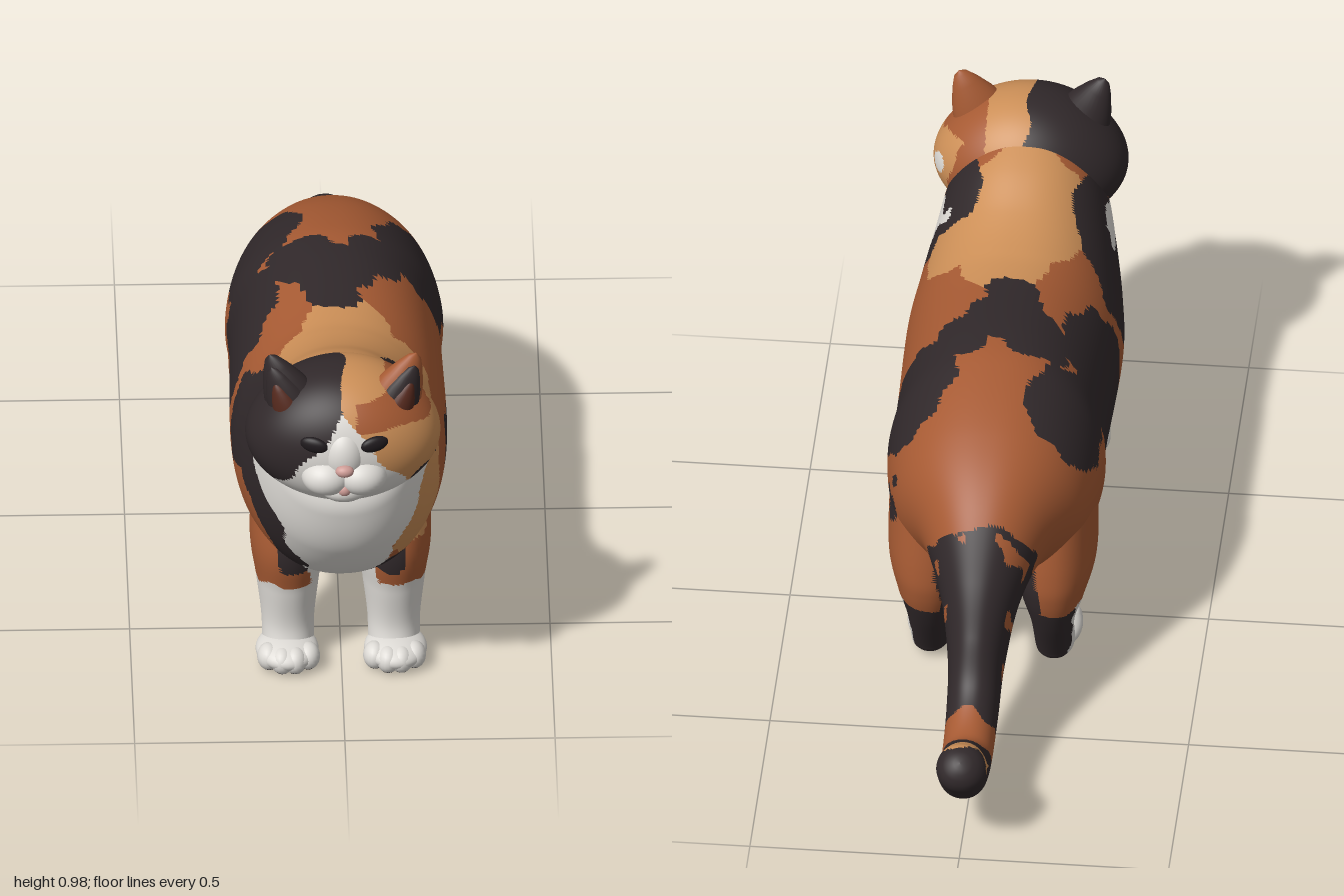
import * as THREE from 'three';

const mat = (name, color) => Object.assign(new THREE.MeshStandardMaterial({ color }), { name });

// Smooth tube through sections [yA, zA, yB, zB, halfWidth], ends rounded off.
// A and B are opposite edge points of each section (top/bottom, or back/front for legs).
function loft(rows, x, steps, around, capDepth) {
  const curve = pts => new THREE.CatmullRomCurve3(pts, false, 'catmullrom', 0.5);
  const a = curve(rows.map(r => new THREE.Vector3(r[4], r[0], r[1])));
  const b = curve(rows.map(r => new THREE.Vector3(0, r[2], r[3])));
  const rings = [];
  for (let i = 0; i <= steps; i++) {
    const p = a.getPoint(i / steps), q = b.getPoint(i / steps);
    rings.push({ y: (p.y + q.y) / 2, z: (p.z + q.z) / 2, hy: (p.y - q.y) / 2, hz: (p.z - q.z) / 2, w: p.x });
  }
  const cap = (end, next) => {
    const len = Math.hypot(end.hy, end.hz);
    let dy = -end.hz / len, dz = end.hy / len;
    if (dy * (end.y - next.y) + dz * (end.z - next.z) < 0) { dy = -dy; dz = -dz; }
    return [1, 2, 3, 4, 5, 6].map(k => {
      const t = k / 6 * Math.PI / 2, c = Math.max(Math.cos(t), 0.002), s = Math.sin(t) * capDepth;
      return { y: end.y + dy * s, z: end.z + dz * s, hy: end.hy * c, hz: end.hz * c, w: end.w * c };
    });
  };
  const all = [...cap(rings[0], rings[1]).reverse(), ...rings, ...cap(rings[steps], rings[steps - 1])];
  const pos = [], idx = [];
  all.forEach((r, i) => {
    for (let j = 0; j < around; j++) {
      const t = j / around * Math.PI * 2, s = Math.sin(t), c = Math.cos(t);
      pos.push(x + r.w * Math.sign(s) * Math.abs(s) ** 0.92, r.y + r.hy * c, r.z + r.hz * c);
      if (i < all.length - 1) {
        const k = (j + 1) % around, p = i * around, q = p + around;
        idx.push(p + j, p + k, q + j, p + k, q + k, q + j);
      }
    }
  });
  const g = new THREE.BufferGeometry();
  g.setAttribute('position', new THREE.Float32BufferAttribute(pos, 3));
  g.setIndex(idx);
  g.computeVertexNormals();
  return g;
}

const ball = (c, r, seg = 24) =>
  new THREE.SphereGeometry(1, seg, Math.round(seg * 0.7)).scale(...r).translate(...c);

const [WHITE, RUST, TAN, DARK] = [0, 1, 2, 3];

// Round blots [x, y, z, radius]
const inside = (blots, x, y, z) => blots.some(b => Math.hypot(x - b[0], y - b[1], z - b[2]) < b[3]);
const tanBlots = [[0, 0.82, 0.5, 0.18], [0.02, 0.78, 0.36, 0.12], [0.14, 0.73, 0.48, 0.12],
  [0.2, 0.56, 0.7, 0.12], [0.2, 0.44, 0.7, 0.11]];
const neckBlots = [[0.18, 0.77, 0.6, 0.1], [0.21, 0.65, 0.6, 0.08], [-0.25, 0.73, 0.58, 0.14],
  [-0.25, 0.6, 0.5, 0.13], [0.12, 0.3, 0.7, 0.05]];
const backBlots = [[0, 0.8, 0.14, 0.1], [0, 0.79, 0.24, 0.07], [0.1, 0.78, 0.05, 0.08], [-0.1, 0.78, 0.06, 0.09],
  [0.2, 0.64, -0.05, 0.15], [-0.25, 0.58, 0.15, 0.185], [-0.22, 0.4, 0.16, 0.15], [-0.2, 0.68, -0.12, 0.14]];
const sideBlots = [[0.25, 0.45, -0.21, 0.045], [0.25, 0.54, -0.25, 0.025], [0.25, 0.43, 0.39, 0.115],
  [0.24, 0.34, 0.28, 0.1], [0.2, 0.29, 0.49, 0.08]];
const darkBlots = [...neckBlots, ...backBlots, ...sideBlots];

// Fur colour of trunk, tail and legs
function coat(px, py, pz) {
  if (py < 0.01) return DARK;
  const x = px + 0.008 * Math.sin(37 * py + 23 * pz);
  const y = py + 0.01 * Math.sin(41 * pz + 19 * px) + 0.006 * Math.sin(83 * pz);
  const z = pz + 0.01 * Math.sin(43 * py + 29 * px) + 0.006 * Math.sin(91 * py);
  // front stockings
  if (z > 0.42 && y < 0.215 && Math.abs(px) > 0.04) return px > 0 && z < 0.53 + (0.2 - y) * 0.45 ? DARK : WHITE;
  // hind stockings and dark inner thighs
  if (z < 0.06 && z > -0.34 && y < 0.2)
    return Math.abs(px) > 0.11 && z > -0.17 - y * 0.45 ? WHITE : DARK;
  if (z < 0.02 && z > -0.4 && y < 0.33 && Math.abs(x) < 0.12) return DARK;
  // belly and bib
  if (z > -0.02 && z < 0.75 && y < 0.255 && (z < 0.5 || Math.abs(px) < 0.07)) return WHITE;
  const bib = 0.08 + Math.max(0, y - 0.3) * 0.42;
  if (z > 0.6 && y < 0.7 && Math.abs(x) < bib) return WHITE;
  if (z > 0.56 && y > 0.27 && y < 0.7 && x < 0 && x > -bib - 0.06) return DARK;
  // shoulder and elbow streaks
  if (px > 0.15 && y > 0.6 && y < 0.74 && Math.abs(z - 0.6 + (y - 0.67) * 0.5) < 0.014) return WHITE;
  if (px > 0.15 && y < 0.37 && z < 0.42 && Math.abs(z - 0.36 - (y - 0.31) * 0.7) < 0.02) return WHITE;
  // banded tail
  if (z < -0.38 - 0.35 * (y - 0.35)) {
    if (z < -0.89 && z > -0.935 && y > 0.2) return TAN;
    const flecks = z > -0.66 && Math.abs(px) > 0.035 && Math.sin(50 * z) * Math.sin(24 * y + 30 * Math.abs(x)) > 0.75;
    return Math.abs(z + 0.78) < 0.045 || flecks ? RUST : DARK;
  }
  if (inside(darkBlots, x, y, z)) return DARK;
  return inside(tanBlots, x, y, z) ? TAN : RUST;
}

// Fur colour of the head
function faceCoat(x, y, z) {
  const w = 0.008 * Math.sin(47 * y + 31 * z);
  if (z > 0.8 && Math.abs(x + w) < (0.875 - y) * 0.75) return WHITE;
  if (y + w < 0.64 && z > 0.74) return WHITE;
  if (x + w < 0 || Math.hypot(x - 0.185, y - 0.675, z - 0.86) < 0.033) return DARK;
  if (x > 0.15 && Math.hypot(y - 0.765, z - 0.73) < 0.025) return WHITE;
  const brow = x > 0.03 && z > 0.78 && y + w > 0.825 && y + w < 0.895;
  const side = x > 0.1 && (y + w > 0.84 || z + w < 0.69);
  return brow || side || y + w < 0.655 ? RUST : TAN;
}

// Sort triangles into one group per coat colour.
function paint(g, rule) {
  const p = g.attributes.position, old = g.index.array, bins = [[], [], [], []];
  for (let i = 0; i < old.length; i += 3) {
    const t = [old[i], old[i + 1], old[i + 2]];
    const mid = f => (f(t[0]) + f(t[1]) + f(t[2])) / 3;
    bins[rule(mid(k => p.getX(k)), mid(k => p.getY(k)), mid(k => p.getZ(k)))].push(...t);
  }
  g.setIndex(bins.flat());
  let start = 0;
  bins.forEach((b, n) => { if (b.length) g.addGroup(start, b.length, n); start += b.length; });
  return g;
}

export function createModel() {
  const cat = new THREE.Group();
  cat.name = 'cat';
  const white = mat('white fur', 0xdedbd6), rust = mat('rust fur', 0xa65a33);
  const tan = mat('tan fur', 0xcc8f57), dark = mat('dark fur', 0x30282a);
  const pink = mat('pink skin', 0xcf9d97), inner = mat('inner ear', 0x55291d), eye = mat('eye', 0x1f1a1d);
  const furs = [white, rust, tan, dark];
  const add = (name, g, m) => {
    const mesh = new THREE.Mesh(g, m);
    mesh.name = name;
    cat.add(mesh);
  };

  // Trunk running into the tail
  const trunk = [[0.885, 0.69, 0.62, 0.86, 0.15], [0.85, 0.6, 0.55, 0.87, 0.188], [0.8, 0.5, 0.42, 0.83, 0.215],
    [0.772, 0.4, 0.28, 0.7, 0.242], [0.765, 0.3, 0.21, 0.48, 0.258], [0.78, 0.05, 0.2, 0.05, 0.252],
    [0.765, -0.09, 0.2, -0.08, 0.259], [0.71, -0.27, 0.24, -0.2, 0.23]];
  const tail = [[0.62, -0.42, 0.32, -0.31, 0.15], [0.48, -0.545, 0.29, -0.41, 0.095], [0.37, -0.62, 0.17, -0.53, 0.068],
    [0.27, -0.69, 0.11, -0.65, 0.062], [0.22, -0.8, 0.095, -0.8, 0.06], [0.25, -0.87, 0.12, -0.92, 0.06],
    [0.265, -0.9, 0.19, -0.99, 0.06]];
  add('bodyAndTail', paint(loft([...trunk, ...tail], 0, 260, 120, 0.05), coat), furs);

  // Legs and paws
  const frontRows = [[0.5, 0.42, 0.5, 0.64, 0.08], [0.32, 0.43, 0.32, 0.685, 0.09], [0.2, 0.47, 0.2, 0.67, 0.075],
    [0.1, 0.52, 0.1, 0.66, 0.063], [0.03, 0.54, 0.03, 0.68, 0.062]];
  const hindRows = [[0.48, -0.28, 0.46, 0.02, 0.1], [0.32, -0.31, 0.29, 0, 0.1], [0.24, -0.31, 0.19, -0.1, 0.075],
    [0.15, -0.28, 0.13, -0.14, 0.052], [0.03, -0.22, 0.03, -0.08, 0.047]];
  for (const s of [1, -1]) {
    const side = s > 0 ? 'left' : 'right';
    for (const [end, rows, x, z, w] of [['Front', frontRows, 0.126, 0.64, 0.075], ['Hind', hindRows, 0.148, -0.105, 0.058]]) {
      add(side + end + 'Leg', paint(loft(rows, s * x, 72, 48, 0.028), coat), furs);
      add(side + end + 'Paw', paint(ball([s * (x + 0.003), 0.036, z + 0.005], [w, 0.036, 0.088], 36), coat), furs);
      for (let i = 0; i < 4; i++) {
        const u = (i - 1.5) / 1.5;
        add(side + end + 'Toe', paint(ball([s * x + u * w * 0.62, 0.033, z + 0.058 - 0.022 * u * u],
          [w * 0.38, 0.033, 0.036], 20), coat), furs);
      }
    }
  }

  // Head with full cheeks
  const head = new THREE.SphereGeometry(1, 128, 88), hp = head.attributes.position;
  for (let i = 0; i < hp.count; i++) {
    const z = hp.getZ(i);
    hp.setX(i, hp.getX(i) * (1 + 0.06 * Math.cos((hp.getY(i) + 0.2) * 2.2)));
    if (z > 0) hp.setZ(i, z ** 0.92);
  }
  head.scale(0.22, 0.175, 0.172).translate(0, 0.758, 0.79);
  head.computeVertexNormals();
  add('head', paint(head, faceCoat), furs);

  // Muzzle, nose and mouth
  add('noseBridge', ball([0, 0.765, 0.918], [0.055, 0.075, 0.058], 32), white);
  add('chin', ball([0, 0.67, 0.915], [0.06, 0.036, 0.05]), white);
  add('nose', ball([0, 0.75, 0.978], [0.022, 0.015, 0.016]), pink);
  add('mouth', ball([0, 0.69, 0.966], [0.016, 0.016, 0.014]), pink);

  // Ear outline, spun and flattened
  const profile = [[0.074, -0.03], [0.067, 0], [0.053, 0.04], [0.034, 0.08], [0.017, 0.108], [0.001, 0.118]]
    .map(p => new THREE.Vector2(...p));
  for (const s of [1, -1]) {
    const side = s > 0 ? 'left' : 'right';
    add(side + 'Muzzle', ball([s * 0.042, 0.713, 0.935], [0.06, 0.047, 0.056], 32), white);
    // Narrow eyes
    add(side + 'Eye', ball([0, 0, 0], [0.034, 0.02, 0.013]).rotateZ(s * 0.12).rotateY(s * 0.3)
      .translate(s * 0.072, 0.805, 0.946), eye);
    // Ears
    const cone = (size, z, depth) => new THREE.LatheGeometry(profile, 28).scale(size, size, depth).translate(0, 0, z)
      .rotateX(0.12).rotateZ(-s * 0.4).rotateY(s * 0.35).translate(s * 0.127, 0.868, 0.815);
    add(side + 'Ear', cone(1, 0, 0.7), s > 0 ? rust : dark);
    add(side + 'EarHollow', cone(0.8, 0.02, 0.55), dark);
    add(side + 'EarInner', cone(0.5, 0.038, 0.42), inner);
  }
  return cat;
}
